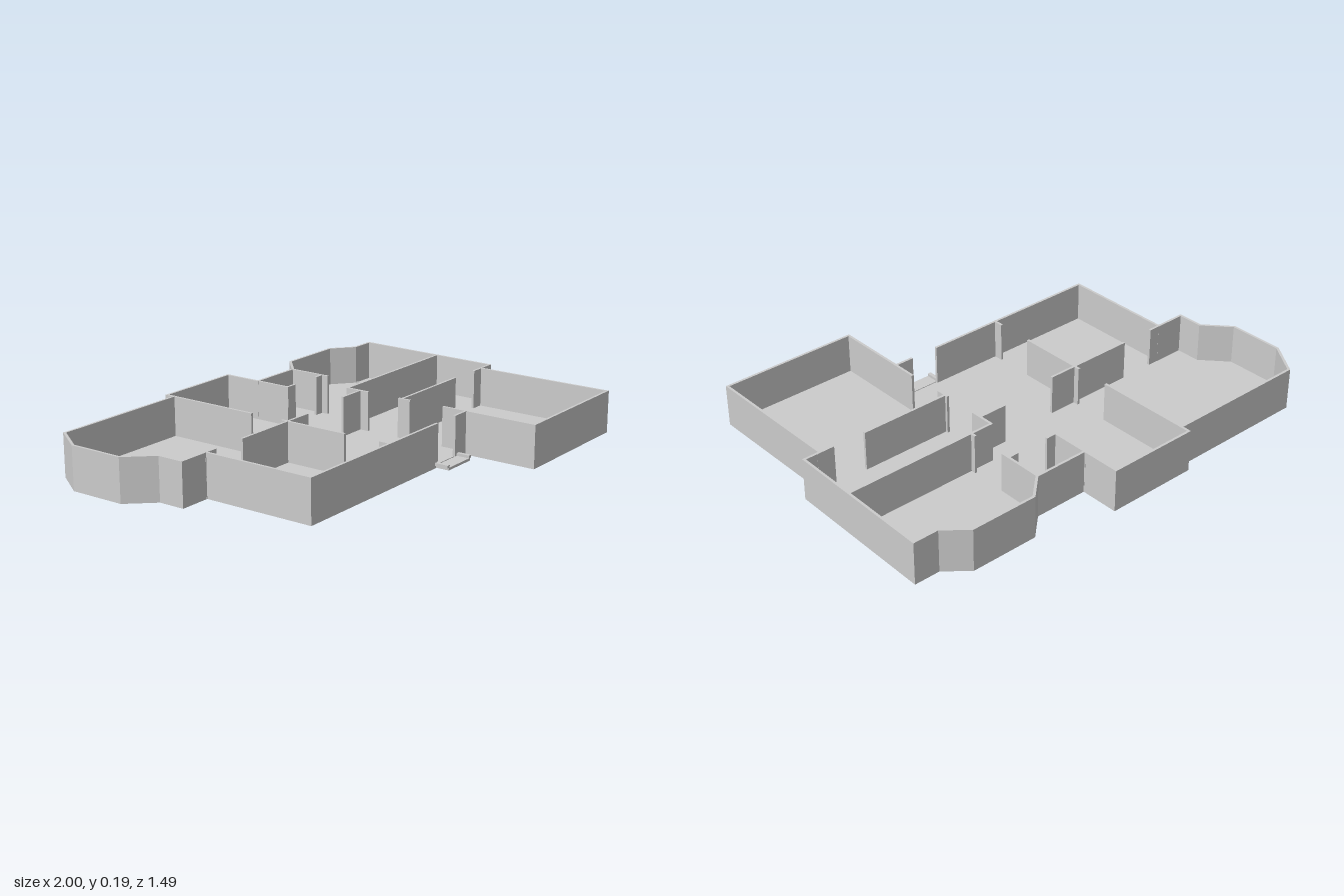
import * as THREE from 'three';

const H = 0.187; // wall height
const T = 0.011; // wall thickness
const FLOOR = 0.01;
const material = new THREE.MeshStandardMaterial({ color: 0xcccccc, flatShading: true });

// Outer edge of the house as [x, z], from the door jamb round to the large front room
const outline = [
  [0.08, 0.416], [-0.762, 0.416], [-0.762, -0.085], [-0.9, -0.085], [-0.9, -0.202],
  [-1, -0.312], [-1, -0.56], [-0.902, -0.706], [-0.26, -0.706], [-0.26, -0.746],
  [0.151, -0.746], [0.151, -0.575], [0.392, -0.575], [0.488, -0.664], [0.79, -0.664],
  [0.886, -0.583], [1, -0.583], [0.988, 0.108], [0.914, 0.108], [0.914, 0.743],
  [0.288, 0.743], [0.288, 0.3],
];

// Inner walls as [x1, z1, x2, z2] centre lines
const partitions = [
  [-0.255, -0.735, -0.255, -0.275], [-0.255, -0.12, -0.255, 0.197], [-0.255, 0.365, -0.255, 0.41],
  [-0.765, -0.09, -0.702, -0.09], [-0.545, -0.09, -0.125, -0.09],
  [0.146, -0.58, 0.146, -0.4], [0.146, -0.405, 0.195, -0.405],
  [0.345, -0.405, 0.39, -0.405], [0.391, -0.57, 0.391, -0.37], [0.391, -0.212, 0.391, -0.186],
  [0.284, -0.186, 0.985, -0.186], [0.288, -0.186, 0.288, -0.075], [0.16, -0.12, 0.288, -0.12],
  [0.288, 0.097, 0.7, 0.097], [0.845, 0.102, 0.925, 0.102], [0.288, 0.08, 0.288, 0.14],
  [0.208, 0.411, 0.292, 0.411],
];

// Extrude a plan drawn in [x, z] upwards from y
function extrudePlan(name, plan, y, height) {
  const shape = new THREE.Shape(plan.map(([x, z]) => new THREE.Vector2(x, -z)));
  const geometry = new THREE.ExtrudeGeometry(shape, { depth: height, bevelEnabled: false });
  geometry.rotateX(-Math.PI / 2);
  const mesh = new THREE.Mesh(geometry, material);
  mesh.name = name;
  mesh.position.y = y;
  return mesh;
}

// Shift an open path to the inside, with mitred corners
function inset(path, t) {
  const normals = path.slice(1).map(([x, z], i) => {
    const dx = x - path[i][0], dz = z - path[i][1], l = Math.hypot(dx, dz);
    return [-dz / l, dx / l];
  });
  return path.map(([x, z], i) => {
    const a = normals[Math.max(i - 1, 0)], b = normals[Math.min(i, normals.length - 1)];
    const k = t / (1 + a[0] * b[0] + a[1] * b[1]);
    return [x + (a[0] + b[0]) * k, z + (a[1] + b[1]) * k];
  });
}

function box(name, x, y, z, w, h, d) {
  const mesh = new THREE.Mesh(new THREE.BoxGeometry(w, h, d), material);
  mesh.name = name;
  mesh.position.set(x, y, z);
  return mesh;
}

export function createModel() {
  const model = new THREE.Group();
  model.name = 'floorPlan';

  // Floor, slightly above the foot of the walls
  const floorPlan = [...inset(outline, 0.003).slice(0, -1), [0.291, 0.413]];
  model.add(extrudePlan('floor', floorPlan, FLOOR, 0.003));

  // Outer wall
  model.add(extrudePlan('outerWall', [...outline, ...inset(outline, T).reverse()], 0, H));

  // Inner walls
  const inner = new THREE.Group();
  inner.name = 'innerWalls';
  for (const [x1, z1, x2, z2] of partitions) {
    const w = Math.max(Math.abs(x2 - x1), T), d = Math.max(Math.abs(z2 - z1), T);
    inner.add(box('innerWall', (x1 + x2) / 2, H / 2, (z1 + z2) / 2, w, H, d));
  }
  model.add(inner);

  // Doorstep with a raised lip at each end
  const step = new THREE.Group();
  step.name = 'doorstep';
  step.add(box('stepSlab', 0.148, 0.007, 0.447, 0.16, 0.011, 0.06));
  for (const side of [-1, 1]) {
    step.add(box('stepLip', 0.148 + side * 0.081, 0.018, 0.447, 0.016, 0.012, 0.06));
  }
  model.add(step);

  return model;
}
